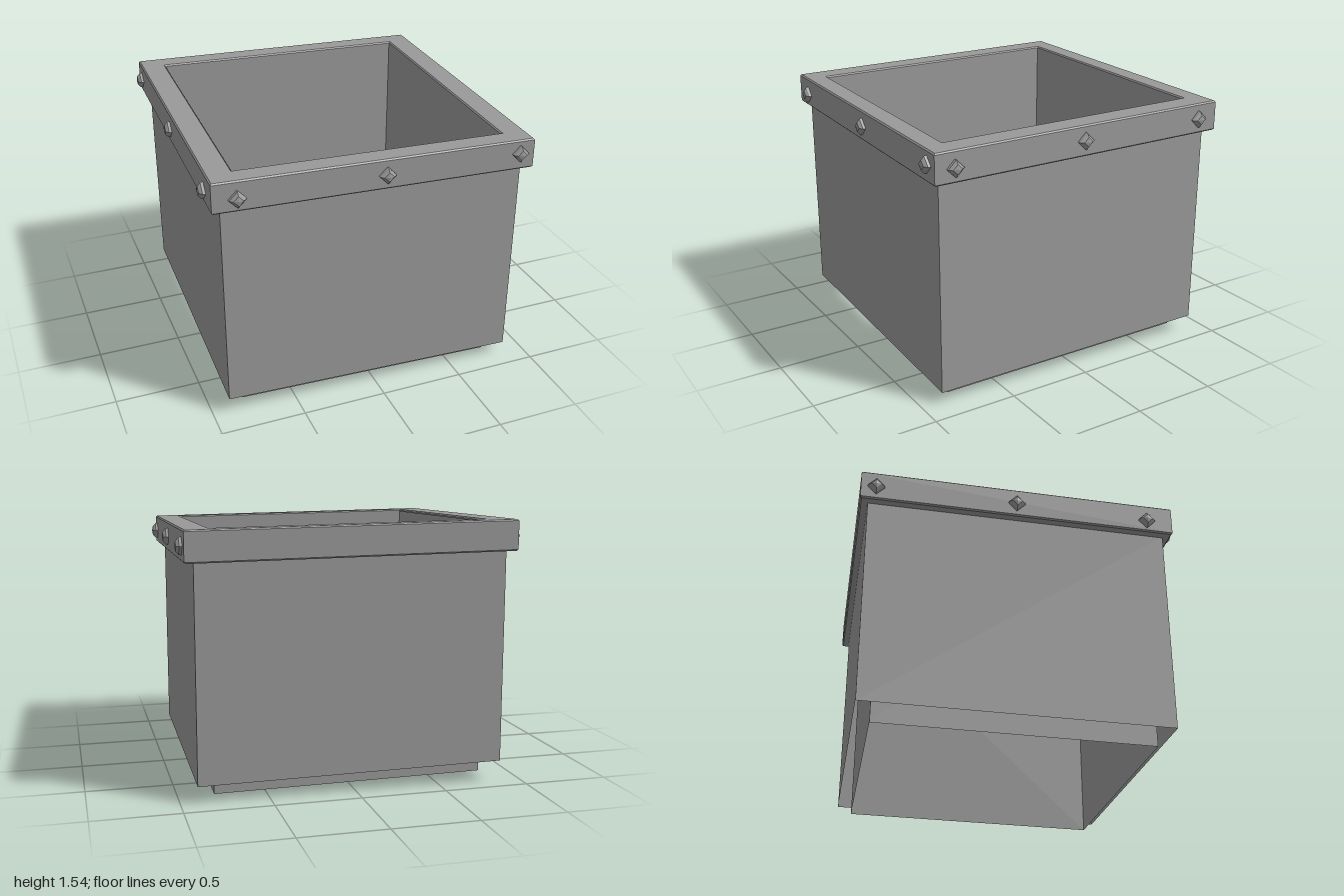
import * as THREE from 'three';

export function createModel() {
  const group = new THREE.Group();
  const grey = new THREE.MeshStandardMaterial({ color: 0x999999, flatShading: true, side: THREE.DoubleSide });

  // The whole planter sits slightly turned and skewed
  const skew = new THREE.Matrix4().makeShear(-0.016, 0, 0, 0, 0, -0.016)
    .multiply(new THREE.Matrix4().makeTranslation(0, 0, -0.018))
    .multiply(new THREE.Matrix4().makeRotationY(-0.0235));

  const add = (name, geometry) => {
    geometry.applyMatrix4(skew);
    const mesh = new THREE.Mesh(geometry, grey);
    mesh.name = name;
    group.add(mesh);
  };

  // Open four-sided shell between two heights
  const shell = (width, depth, bottom, top) =>
    new THREE.CylinderGeometry(Math.SQRT1_2, Math.SQRT1_2, 1, 4, 1, true)
      .rotateY(Math.PI / 4)
      .scale(width, top - bottom, depth)
      .translate(0, (top + bottom) / 2, 0);

  add('outerWalls', shell(1.77, 1.765, 0.1, 1.34));
  add('innerWalls', shell(1.57, 1.596, 0.025, 1.495));

  // Bevelled square rim
  const rectangle = (Type, w, d) => new Type([[-w, -d], [w, -d], [w, d], [-w, d]]
    .map(([x, y]) => new THREE.Vector2(x, y)));
  const frame = rectangle(THREE.Shape, 0.938, 0.928);
  frame.holes.push(rectangle(THREE.Path, 0.789, 0.802));
  const bevel = 0.008;
  add('rim', new THREE.ExtrudeGeometry(frame, {
    depth: 0.178 - 2 * bevel, bevelSize: bevel, bevelThickness: bevel, bevelOffset: -bevel, bevelSegments: 1,
  }).rotateX(-Math.PI / 2).translate(0, 1.33 + bevel, 0));

  // Faceted diamond studs on three sides: [offset along the side, height]
  const profile = [[0.051, -0.005], [0.048, 0.015], [0.028, 0.032], [0, 0.037]]
    .map(([x, y]) => new THREE.Vector2(x, y));
  const sides = [
    { name: 'frontStud', turn: 0, reach: 0.928, spots: [[-0.8, 1.406], [0.04, 1.415], [0.85, 1.428]] },
    { name: 'leftStud', turn: Math.PI / 2, reach: 0.938, spots: [[-0.81, 1.413], [0, 1.42], [0.8, 1.417]] },
    { name: 'rightStud', turn: -Math.PI / 2, reach: 0.938, spots: [[-0.84, 1.41], [-0.02, 1.41], [0.77, 1.4]] },
  ];
  for (const { name, turn, reach, spots } of sides) {
    spots.forEach(([offset, height], i) => add(name + (i + 1),
      new THREE.LatheGeometry(profile, 4)
        .rotateX(Math.PI / 2)
        .translate(offset, height, reach)
        .rotateY(turn)));
  }

  return group;
}
